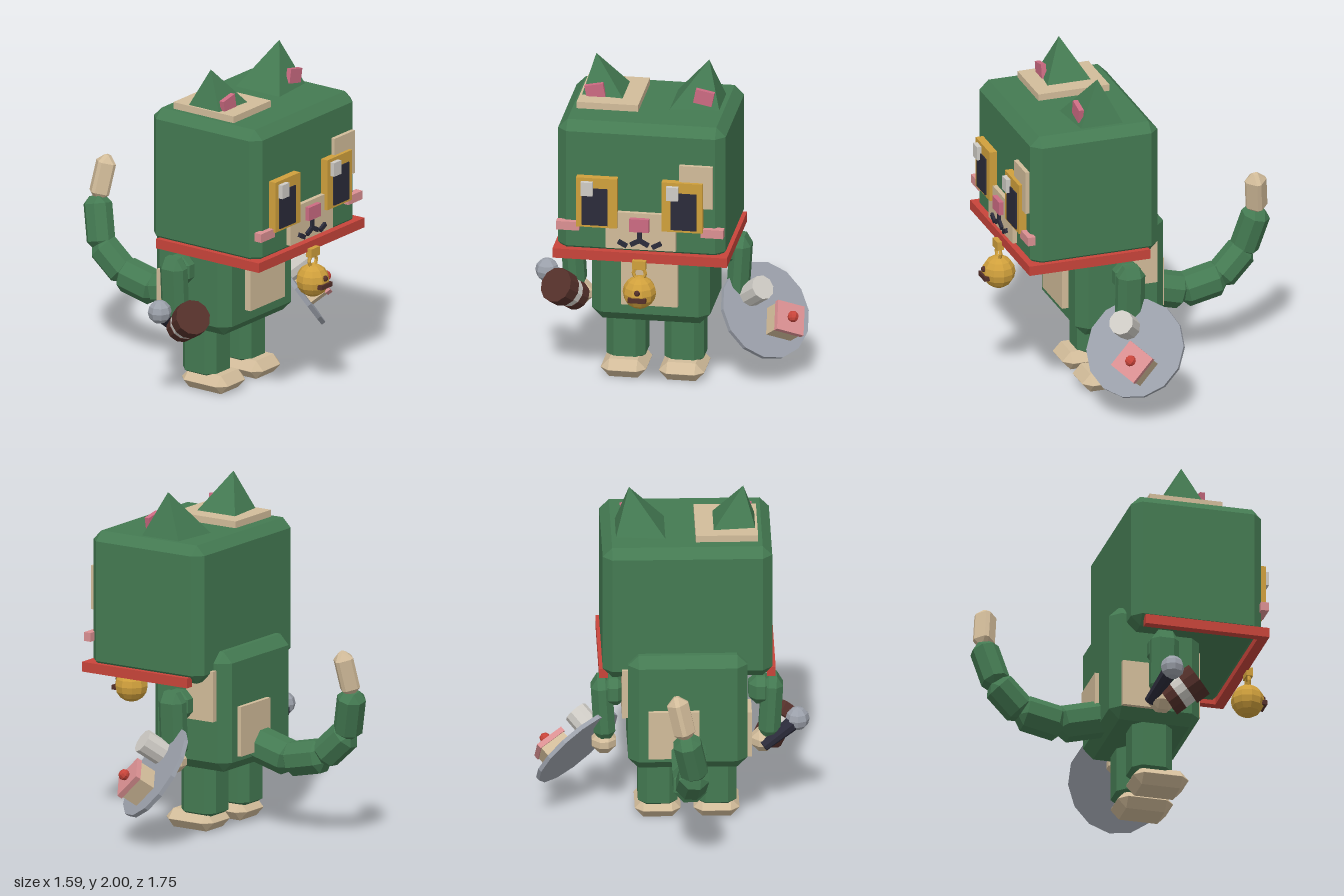
import * as THREE from 'three';
import { ConvexGeometry } from 'three/addons/geometries/ConvexGeometry.js';

const mat = (name, color) => {
  const m = new THREE.MeshStandardMaterial({ color });
  m.name = name;
  return m;
};
const V = (x, y, z) => new THREE.Vector3(x, y, z);
const CX = -0.09; // symmetry plane of head and body

export function createModel() {
  const model = new THREE.Group();
  const green = mat('green', 0x447a52), tan = mat('tan', 0xd2bc9a), red = mat('red', 0xc8443a);
  const gold = mat('gold', 0xd0a03c), rose = mat('rose', 0xcc6b82), pink = mat('pink', 0xdb9092);
  const navy = mat('navy', 0x2b2b3a), brown = mat('brown', 0x54302a);
  const grey = mat('grey', 0x9ca1ab), white = mat('offWhite', 0xcfccc6);

  const add = (name, geo, material, pos = [0, 0, 0], parent = model) => {
    // unshared vertices give flat facets
    const g = geo.index ? geo.toNonIndexed() : geo;
    g.computeVertexNormals();
    const m = new THREE.Mesh(g, material);
    m.name = name;
    m.position.set(...pos);
    parent.add(m);
    return m;
  };

  // box with all edges and corners cut off
  const chamfer = (w, h, d, b, by = b) => {
    const pts = [];
    for (const x of [-1, 1]) for (const y of [-1, 1]) for (const z of [-1, 1]) {
      const X = w / 2, Y = h / 2, Z = d / 2;
      pts.push(V(x * X, y * (Y - by), z * (Z - b)), V(x * (X - b), y * Y, z * (Z - b)), V(x * (X - b), y * (Y - by), z * Z));
    }
    return new ConvexGeometry(pts);
  };
  // plain box given by its limits
  const slab = (name, material, x0, x1, y0, y1, z0, z1) =>
    add(name, new THREE.BoxGeometry(x1 - x0, y1 - y0, z1 - z0), material, [(x0 + x1) / 2, (y0 + y1) / 2, (z0 + z1) / 2]);
  const UP = V(0, 1, 0);
  // stands a y-aligned geometry between two points
  const between = (name, geo, material, a, b) => {
    const m = add(name, geo, material);
    m.position.copy(a).add(b).multiplyScalar(0.5);
    m.quaternion.setFromUnitVectors(UP, b.clone().sub(a).normalize());
    return m;
  };

  // head and body
  add('head', chamfer(0.98, 0.82, 0.78, 0.055), green, [CX, 1.33, 0.34]);
  add('body', chamfer(0.69, 0.71, 0.54, 0.06), green, [CX, 0.735, 0.13]);

  // fur patches
  slab('crownPatch', tan, -0.5, -0.14, 1.72, 1.78, 0.07, 0.505);
  slab('browPatch', tan, 0.14, 0.335, 1.26, 1.52, 0.71, 0.755);
  slab('muzzle', tan, -0.29, 0.12, 0.985, 1.21, 0.71, 0.757);
  slab('bellyPatch', tan, -0.25, 0.08, 0.51, 0.92, 0.38, 0.44);
  slab('backPatch', tan, -0.155, 0.14, 0.47, 0.765, -0.165, -0.12);
  slab('leftFlankPatch', tan, 0.23, 0.29, 0.69, 0.99, -0.07, 0.12);
  slab('rightFlankPatch', tan, -0.46, -0.41, 0.44, 0.72, -0.08, 0.11);

  for (const s of [-1, 1]) {
    const side = s > 0 ? 'left' : 'right';
    const X = (x) => CX + s * x;

    // ears lean outward
    add(side + 'Ear', new ConvexGeometry([
      V(X(0.12), 1.735, 0.12), V(X(0.12), 1.735, 0.44),
      V(X(0.41), 1.735, 0.15), V(X(0.41), 1.735, 0.41), V(X(0.33), 2, 0.28)]), green);
    const inner = add(side + 'InnerEar', new THREE.BoxGeometry(0.11, 0.085, 0.03), rose, [X(0.318), 1.81, 0.395]);
    inner.rotation.z = -0.2 * s;

    // eye: gold frame, dark pupil, highlight always on the same side
    const e = X(0.25);
    slab(side + 'Eye', gold, e - 0.12, e + 0.12, 1.115, 1.42, 0.72, 0.776);
    const p = e - 0.01 + (s > 0 ? 0.02 : 0);
    slab(side + 'Pupil', navy, p - 0.075, p + 0.075, 1.13, 1.357, 0.775, 0.784);
    slab(side + 'EyeGlint', white, e - 0.09, e - 0.02, 1.317, 1.4, 0.77, 0.803);

    slab(side + 'Cheek', pink, X(s * 0.42) - 0.067, X(s * 0.42) + 0.067, 1.083, 1.135, 0.715, 0.762).position.x = X(0.422);

    // mouth strokes
    for (const [x, y, a] of [[0.027, 1.03, -0.5], [0.1, 1.02, 0.5]]) {
      const stroke = add(side + 'MouthStroke', new THREE.BoxGeometry(0.058, 0.026, 0.03), navy, [X(x), y, 0.758]);
      stroke.rotation.z = a * s;
    }

    // arms and hands
    add(side + 'Shoulder', chamfer(0.14, 0.17, 0.16, 0.045), green, [X(0.425), 0.78, 0.135]);
    const arm = add(side + 'Arm', chamfer(0.125, 0.4, 0.165, 0.04, 0.06), green, [X(0.485), 0.67, 0.135]);
    arm.rotation.z = -0.06 * s;
    add(side + 'Hand', chamfer(0.14, 0.13, 0.15, 0.045), tan, [X(s > 0 ? 0.48 : 0.44), 0.455, 0.135]);

    // legs and feet
    add(side + 'Leg', chamfer(0.23, 0.36, 0.24, 0.05, 0.03), green, [X(0.17), 0.26, 0.13]);
    add(side + 'Foot', chamfer(0.265, 0.11, 0.33, 0.05, 0.054), tan, [X(0.17), 0.055, 0.18]);

    // collar side bar
    slab(side + 'CollarBar', red, -0.025, 0.025, 0.905, 0.963, 0.02, 0.76).position.x = X(0.485);
  }

  // nose and mouth line
  slab('nose', rose, -0.147, -0.033, 1.103, 1.183, 0.74, 0.785);
  slab('mouthLine', navy, -0.102, -0.078, 1.035, 1.105, 0.745, 0.773);

  // collar front and bell
  slab('collarFront', red, -0.6, 0.42, 0.905, 0.963, 0.7, 0.76);
  slab('bellClip', gold, -0.13, -0.05, 0.873, 0.925, 0.75, 0.79);
  add('bellRing', new THREE.TorusGeometry(0.035, 0.011, 5, 10), gold, [CX, 0.845, 0.768]);
  add('bell', new THREE.SphereGeometry(0.098, 10, 8), gold, [CX, 0.727, 0.768]);
  slab('bellSlot', brown, -0.142, -0.038, 0.695, 0.722, 0.82, 0.872);
  add('bellDot', new THREE.SphereGeometry(0.018, 6, 5), brown, [CX, 0.752, 0.858]);

  // tail: chamfered links along a curl
  const path = [V(-0.095, 0.51, -0.08), V(-0.09, 0.44, -0.355), V(-0.09, 0.49, -0.585),
    V(-0.11, 0.64, -0.74), V(-0.06, 0.885, -0.805), V(0, 1.15, -0.775)];
  const widths = [0.2, 0.195, 0.175, 0.16, 0.125];
  widths.forEach((w, i) => {
    const a = path[i], b = path[i + 1], tip = i === 4;
    const len = a.distanceTo(b) + (tip ? 0 : 0.05);
    between(tip ? 'tailTip' : 'tailLink', chamfer(w, len, w, w * (tip ? 0.4 : 0.3), 0.045), tip ? tan : green, a, b);
  });

  // serving tray tilted outward, its own +z is the upper side
  const tray = new THREE.Group();
  tray.name = 'servingTray';
  tray.position.set(0.545, 0.41, 0.155);
  tray.lookAt(0.545 + 0.62, 0.41 + 0.57, 0.155 + 0.54);
  tray.rotateZ(-0.49);
  model.add(tray);
  const disc = (r, h, n) => new THREE.CylinderGeometry(r, r, h, n).rotateX(Math.PI / 2);
  add('plate', disc(0.295, 0.026, 14), grey, [0, 0, 0], tray);
  add('cup', disc(0.073, 0.14, 10), white, [-0.111, 0.068, 0.083], tray);
  add('cake', new THREE.BoxGeometry(0.165, 0.165, 0.11), tan, [0.09, -0.07, 0.066], tray);
  add('icing', new THREE.BoxGeometry(0.18, 0.18, 0.032), pink, [0.09, -0.07, 0.13], tray);
  add('cherry', new THREE.SphereGeometry(0.033, 8, 6), red, [0.09, -0.07, 0.17], tray);

  // small drum: brown ends and a pale band
  const d0 = V(-0.555, 0.44, 0.165), d1 = V(-0.65, 0.56, 0.325);
  const at = (t) => d0.clone().lerp(d1, t);
  const drum = (name, m, r, t0, t1) =>
    between(name, new THREE.CylinderGeometry(r, r, d0.distanceTo(d1) * (t1 - t0), 12), m, at(t0), at(t1));
  drum('drumBase', brown, 0.09, 0, 0.3);
  drum('drumBand', white, 0.088, 0.3, 0.6);
  drum('drumLid', brown, 0.104, 0.6, 1);

  // microphone
  const m0 = V(-0.53, 0.44, 0.06), m1 = V(-0.725, 0.57, 0.14);
  between('microphoneHandle', new THREE.CylinderGeometry(0.048, 0.032, m0.distanceTo(m1), 8), navy, m0, m1);
  add('microphoneHead', new THREE.SphereGeometry(0.07, 8, 6), grey, [-0.73, 0.578, 0.143]);

  return model;
}
